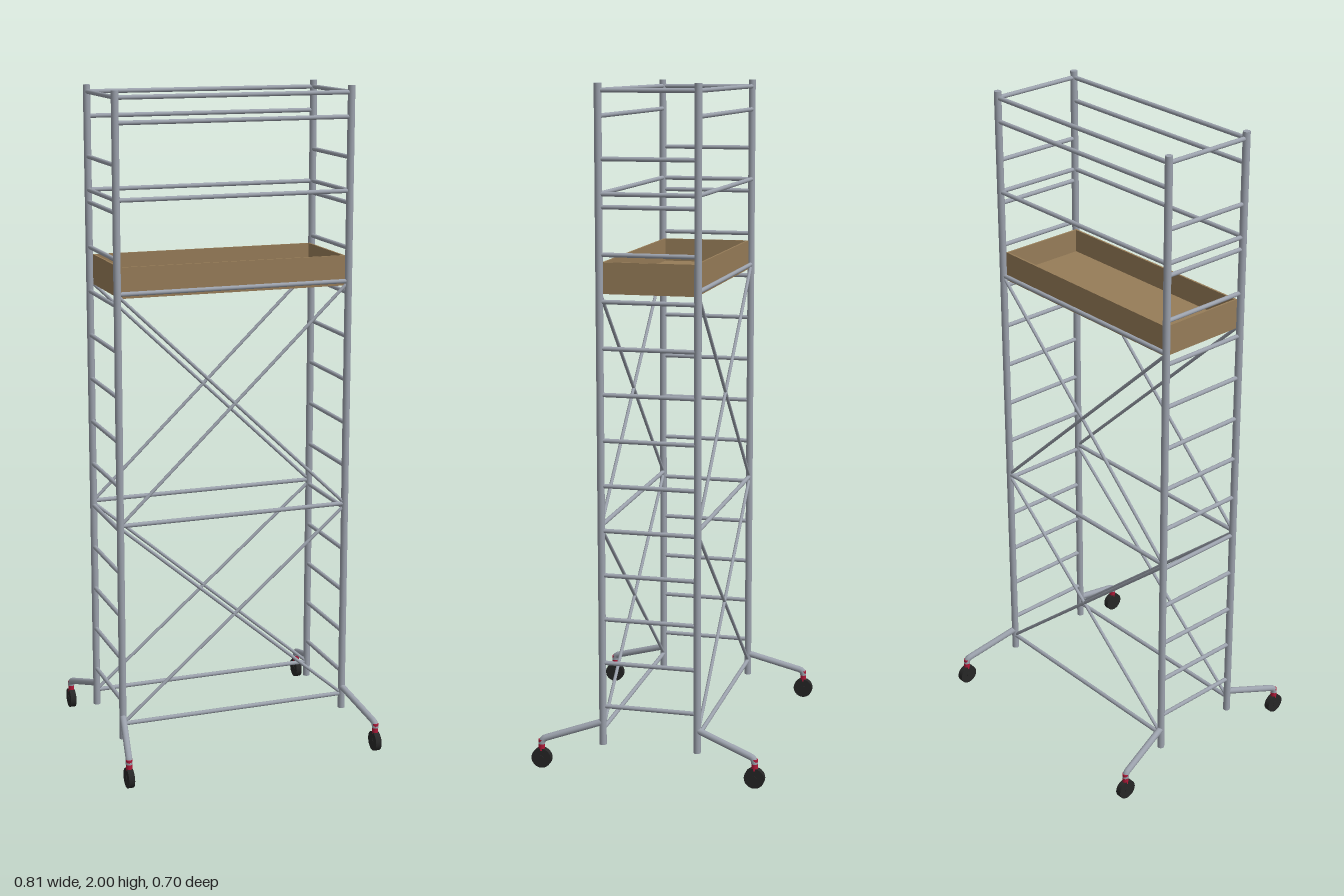
import * as THREE from 'three';

const steel = new THREE.MeshStandardMaterial({ color: 0x9ba1ac });
const wood = new THREE.MeshStandardMaterial({ color: 0x967c58 });
const red = new THREE.MeshStandardMaterial({ color: 0xb01838 });
const rubber = new THREE.MeshStandardMaterial({ color: 0x262626 });

const X = 0.357, Z = 0.143; // post positions

export function createModel() {
  const root = new THREE.Group();
  root.name = 'scaffoldTower';

  const group = (name) => {
    const g = new THREE.Group();
    g.name = name;
    root.add(g);
    return g;
  };
  const add = (parent, name, geometry, material, x, y, z) => {
    const mesh = new THREE.Mesh(geometry, material);
    mesh.name = name;
    mesh.position.set(x, y, z);
    parent.add(mesh);
    return mesh;
  };
  // Straight round tube between two points
  const bar = (parent, name, a, b, r) => {
    const p = new THREE.Vector3(...a), q = new THREE.Vector3(...b);
    const dir = q.clone().sub(p);
    const mid = p.clone().add(q).multiplyScalar(0.5);
    const mesh = add(parent, name, new THREE.CylinderGeometry(r, r, dir.length(), 16), steel, mid.x, mid.y, mid.z);
    mesh.quaternion.setFromUnitVectors(new THREE.Vector3(0, 1, 0), dir.normalize());
  };

  // Corner posts
  const posts = group('posts');
  for (const sx of [-1, 1]) for (const sz of [-1, 1])
    bar(posts, 'post', [sx * X, 0.075, sz * Z], [sx * X, 2, sz * Z], 0.0108);

  // Ladder rungs and end guard rails
  const rungs = group('ladderRungs');
  const rungHeights = [1.695, 1.98];
  for (let i = 0; i < 13; i++) rungHeights.push(0.194 + i * 0.1332);
  for (const sx of [-1, 1]) for (const y of rungHeights)
    bar(rungs, 'rung', [sx * X, y, -Z], [sx * X, y, Z], 0.0065);

  // Long horizontal rails and crossed diagonal braces
  const rails = group('longRails');
  const braces = group('diagonalBraces');
  for (const sz of [-1, 1]) {
    const z = sz * Z;
    for (const y of [0.122, 0.742, 1.428, 1.695, 1.91, 1.98])
      bar(rails, 'rail', [-X, y, z], [X, y, z], 0.0065);
    for (const [y0, y1] of [[0.122, 0.735], [0.742, 1.425]])
      for (const s of [-1, 1])
        bar(braces, 'brace', [-s * X, y0, z], [s * X, y1, z], 0.005);
  }

  // Deck with toe boards
  const platform = group('platform');
  add(platform, 'deck', new THREE.BoxGeometry(0.696, 0.02, 0.274), wood, 0, 1.424, 0);
  for (const s of [-1, 1]) {
    add(platform, 'longToeBoard', new THREE.BoxGeometry(0.696, 0.07, 0.006), wood, 0, 1.469, s * 0.134);
    add(platform, 'endToeBoard', new THREE.BoxGeometry(0.006, 0.07, 0.262), wood, s * 0.345, 1.469, 0);
  }

  // Outriggers with castors
  for (const sx of [-1, 1]) for (const sz of [-1, 1]) {
    const g = group('outrigger');
    const x = sx * 0.393, z = sz * 0.322;
    const path = new THREE.CurvePath();
    const start = new THREE.Vector3(sx * X, 0.145, sz * Z);
    const corner = new THREE.Vector3(x, 0.088, z);
    const bend = corner.clone().lerp(start, 0.07);
    const end = new THREE.Vector3(x, 0.073, z);
    path.add(new THREE.LineCurve3(start, bend));
    path.add(new THREE.QuadraticBezierCurve3(bend, corner, end));
    add(g, 'arm', new THREE.TubeGeometry(path, 40, 0.01, 14), steel, 0, 0, 0);
    add(g, 'castorStem', new THREE.CylinderGeometry(0.0095, 0.0095, 0.034, 16), red, x, 0.07, z);
    const wheel = add(g, 'wheel', new THREE.CylinderGeometry(0.03, 0.03, 0.018, 28), rubber, x, 0.03, z);
    wheel.rotation.z = Math.PI / 2;
    const hub = add(g, 'wheelHub', new THREE.CylinderGeometry(0.008, 0.008, 0.021, 16), rubber, x, 0.03, z);
    hub.rotation.z = Math.PI / 2;
  }
  return root;
}
